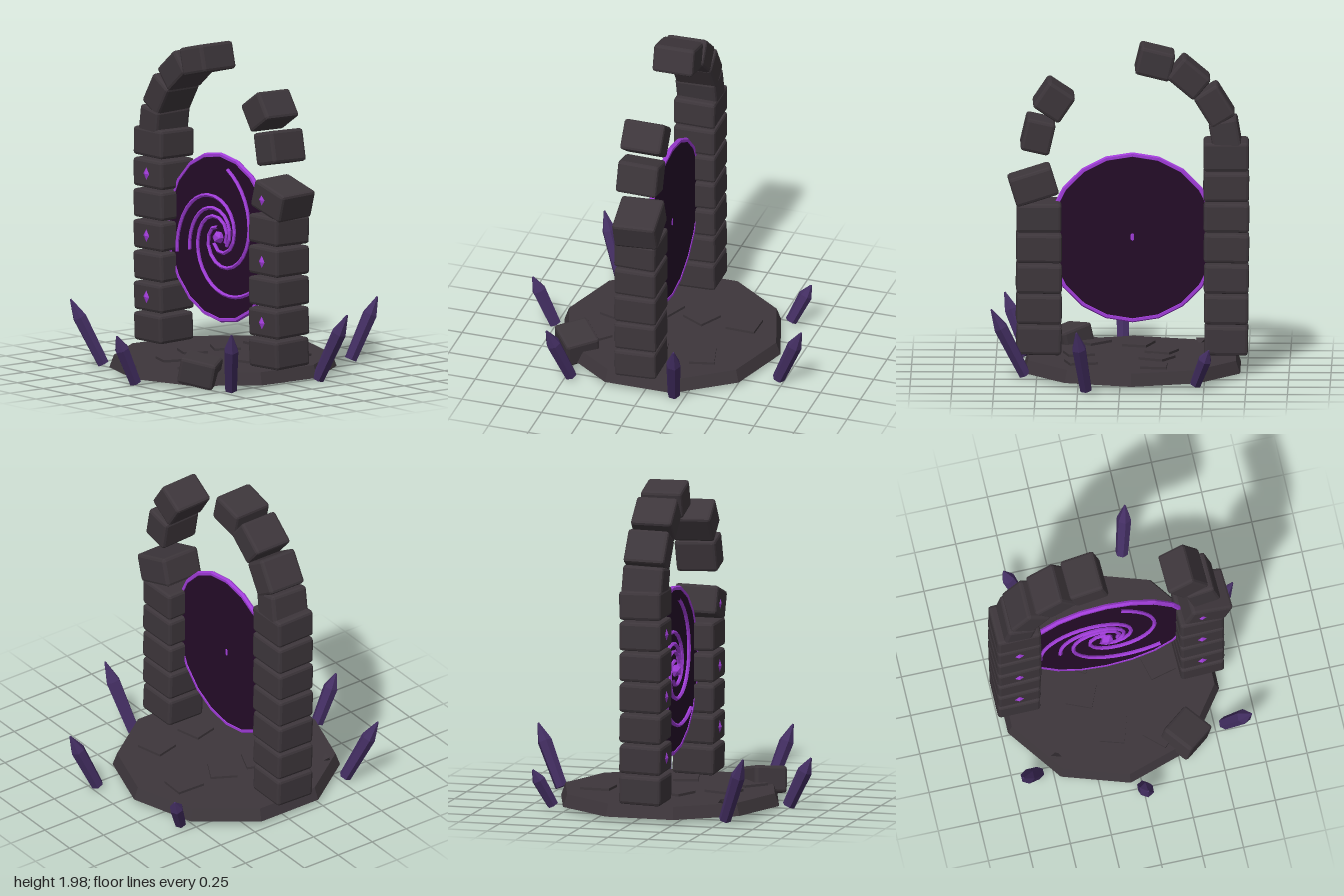
import * as THREE from 'three';
import { RoundedBoxGeometry } from 'three/addons/geometries/RoundedBoxGeometry.js';

const mat = (name, color) => Object.assign(new THREE.MeshStandardMaterial({ color }), { name });

// Facets a geometry so every face has its own normal.
function flat(geometry) {
  const g = geometry.index ? geometry.toNonIndexed() : geometry;
  g.computeVertexNormals();
  return g;
}

export function createModel() {
  const stone = mat('dark stone', 0x3d363b);
  const crystalMat = mat('violet crystal', 0x432e62);
  const glow = mat('purple glow', 0xa03cd8);
  const voidMat = mat('portal void', 0x240c28);

  const model = new THREE.Group();
  model.name = 'ruinedPortal';
  const CX = -0.067, CZ = 0.047;

  const add = (name, geometry, material, pos, rot = [0, 0, 0], parent = model) => {
    const mesh = new THREE.Mesh(geometry, material);
    mesh.name = name;
    mesh.position.set(...pos);
    mesh.rotation.set(...rot);
    parent.add(mesh);
    return mesh;
  };
  const block = (name, w, h, d, pos, rot) =>
    add(name, flat(new RoundedBoxGeometry(w, h, d, 1, 0.018)), stone, pos, rot);

  // Ten-sided platform
  add('platform', flat(new THREE.CylinderGeometry(0.65, 0.677, 0.075, 10)), stone, [CX, 0.08, 0.035]);

  // Loose paving slabs: x, z, width, depth, turn
  [
    [-0.2, -0.37, 0.155, 0.18, -0.03], [0.235, -0.255, 0.17, 0.15, 0.25],
    [-0.1, 0.38, 0.15, 0.18, -0.3], [0.18, 0.45, 0.16, 0.18, -0.75],
    [-0.215, -0.1, 0.16, 0.16, -0.5], [-0.24, 0.13, 0.16, 0.15, -0.4],
    [0.25, 0.04, 0.16, 0.15, 0.25],
  ].forEach(([x, z, w, d, r]) =>
    add('pavingSlab', new THREE.BoxGeometry(w, 0.025, d), stone, [x, 0.12, z], [0, r, 0]));

  // Pillars of stacked blocks, each slightly turned
  const wobble = i => Math.sin(i * 12.9898) * 0.035;
  for (const [name, x, count] of [['rightPillarBlock', -0.625, 7], ['leftPillarBlock', 0.49, 5]]) {
    for (let i = 0; i < count; i++) {
      const k = i + x * 7;
      block(name, 0.262 + wobble(k) * 0.25, 0.172, 0.258,
        [x, 0.215 + i * 0.186, CZ], [wobble(k + 3), wobble(k + 1), wobble(k + 2) * 0.6]);
    }
  }
  block('shiftedPillarBlock', 0.265, 0.175, 0.265, [0.525, 1.145, 0.045], [0.03, 0.06, -0.3]);

  // Broken arch: x, y, radial width, length along the arch, tilt in degrees
  [
    [-0.622, 1.445, 0.172, 0.21, -10], [-0.555, 1.632, 0.165, 0.215, -32],
    [-0.402, 1.8, 0.165, 0.212, -50], [-0.2, 1.89, 0.168, 0.212, -76],
    [0.402, 1.66, 0.19, 0.185, 34], [0.497, 1.452, 0.175, 0.197, 13],
  ].forEach(([x, y, w, h, a], i) =>
    block('archBlock', w, h, 0.252, [x, y, CZ], [wobble(i + 5), wobble(i), a * Math.PI / 180]));

  // Fallen block and a chip of rubble
  block('fallenBlock', 0.22, 0.16, 0.21, [0.315, 0.127, 0.507], [0.12, 0.68, -0.28]);
  add('rubbleChip', flat(new THREE.TetrahedronGeometry(0.04)), stone, [-0.47, 0.12, 0.48], [0.3, 0.5, 0]);

  // Rune diamonds on the pillar fronts
  for (const x of [-0.625, 0.49]) {
    for (const y of [0.4, 0.77, 1.145]) {
      const rune = add('runeDiamond', flat(new THREE.OctahedronGeometry(1)), glow, [x, y, 0.178]);
      rune.scale.set(0.028, 0.038, 0.012);
    }
  }

  // Portal disc and rim
  const portal = new THREE.Group();
  portal.name = 'portal';
  portal.position.set(CX, 0.825, CZ);
  model.add(portal);
  const disc = flat(new THREE.CylinderGeometry(0.5, 0.5, 0.02, 20));
  add('portalDisc', disc, voidMat, [0, 0, 0], [Math.PI / 2, 0, 0], portal);
  const rim = flat(new THREE.TorusGeometry(0.498, 0.016, 6, 20));
  add('portalRim', rim, glow, [0, 0, 0], [0, 0, Math.PI / 2], portal);

  // Spiral arms winding into the core: start angle, start radius, sweep in degrees
  [[79, 0.43, 340], [199, 0.43, 340], [320, 0.43, 340], [201, 0.305, 230]].forEach(([start, r0, sweep]) => {
    const points = [];
    for (let d = 0; d <= sweep; d += 10) {
      const a = (start - d) * Math.PI / 180, r = r0 * Math.exp(-0.0056 * d);
      points.push(new THREE.Vector3(r * Math.cos(a), r * Math.sin(a), 0.018));
    }
    const path = new THREE.CatmullRomCurve3(points);
    const tube = new THREE.TubeGeometry(path, Math.round(sweep / 17), 0.012, 5);
    add('spiralArm', flat(tube), glow, [0, 0, 0], [0, 0, 0], portal);
  });
  add('portalCore', flat(new THREE.IcosahedronGeometry(0.04, 0)), glow, [0, 0.003, 0.02], [0, 0, 0], portal);

  // Crystals leaning outward around the platform: foot, tip, radius
  [
    [[-0.59, 0.04, 0.53], [-0.715, 0.43, 0.68], 0.044],
    [[0, 0.035, 0.75], [0, 0.33, 0.89], 0.045],
    [[0.57, 0.035, -0.185], [0.77, 0.44, -0.25], 0.045],
    [[0.56, 0.04, 0.465], [0.7, 0.4, 0.57], 0.045],
    [[0.2, 0.04, -0.72], [0.255, 0.41, -0.88], 0.045],
    [[-0.45, 0.05, -0.58], [-0.53, 0.27, -0.68], 0.042],
  ].forEach(([foot, tip, r]) => {
    const a = new THREE.Vector3(...foot), axis = new THREE.Vector3(...tip).sub(a);
    const len = axis.length();
    const profile = [[0, 0], [r * 0.85, 0], [r, len * 0.72], [r * 0.12, len], [0, len]]
      .map(([x, y]) => new THREE.Vector2(x, y));
    const crystal = add('crystal', flat(new THREE.LatheGeometry(profile, 6)), crystalMat, foot);
    crystal.quaternion.setFromUnitVectors(new THREE.Vector3(0, 1, 0), axis.normalize());
  });

  return model;
}
